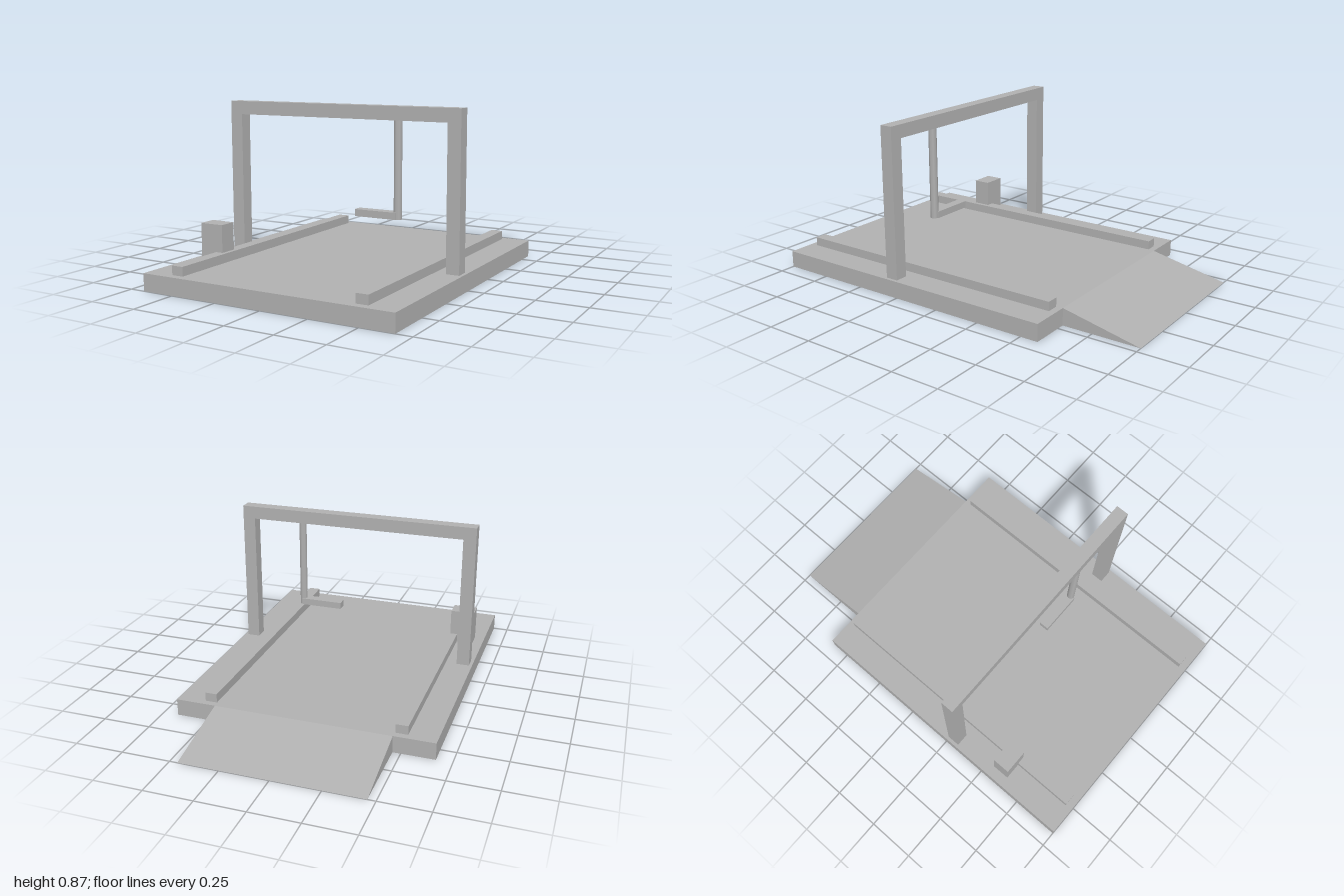
import * as THREE from 'three';

export function createModel() {
  const model = new THREE.Group();
  const grey = new THREE.MeshStandardMaterial({ color: 0xb0b0b0 });
  grey.name = 'plain grey';

  const add = (name, geometry) => {
    const mesh = new THREE.Mesh(geometry, grey);
    mesh.name = name;
    model.add(mesh);
    return mesh;
  };
  // Box given by its lower and upper limits on each axis
  const box = (name, [x0, x1], [y0, y1], [z0, z1]) =>
    add(name, new THREE.BoxGeometry(x1 - x0, y1 - y0, z1 - z0))
      .position.set((x0 + x1) / 2, (y0 + y1) / 2, (z0 + z1) / 2);
  // Extrusion of an outline of [x, y] points
  const extrude = (points, depth) => new THREE.ExtrudeGeometry(
    new THREE.Shape(points.map(([x, y]) => new THREE.Vector2(x, y))),
    { depth, bevelEnabled: false });

  const deck = 0.088, back = -0.594, frameZ = 0.291;

  // Platform and its two long rails
  box('platform', [-0.67, 0.67], [0, deck], [back, 1]);
  for (const [name, x] of [['leftRail', 0.495], ['rightRail', -0.495]])
    box(name, [x - 0.031, x + 0.031], [deck, 0.134], [-0.56, 0.962]);

  // Wedge ramp at the back, extruded across the width
  const ramp = add('ramp', extrude([[-back, 0], [1, 0], [-back, deck]], 0.92));
  ramp.rotation.y = Math.PI / 2;
  ramp.position.x = -0.46;

  // Gantry arch: two posts and a top beam in one outline
  const arch = add('gantryFrame', extrude([
    [-0.653, deck], [-0.585, deck], [-0.585, 0.8], [0.585, 0.8],
    [0.585, deck], [0.653, deck], [0.653, 0.868], [-0.653, 0.868],
  ], 0.067));
  arch.position.z = frameZ - 0.0335;

  // Hanging eight-sided rod with a horizontal arm
  add('hangingRod', new THREE.CylinderGeometry(0.021, 0.021, 0.48, 8).toNonIndexed())
    .position.set(0.313, 0.56, frameZ);
  box('hangingArm', [0.087, 0.313], [0.32, 0.355], [frameZ - 0.025, frameZ + 0.025]);

  // Control box standing beside the right rail
  box('controlBox', [-0.615, -0.486], [deck, 0.274], [0.545, 0.637]);

  return model;
}
